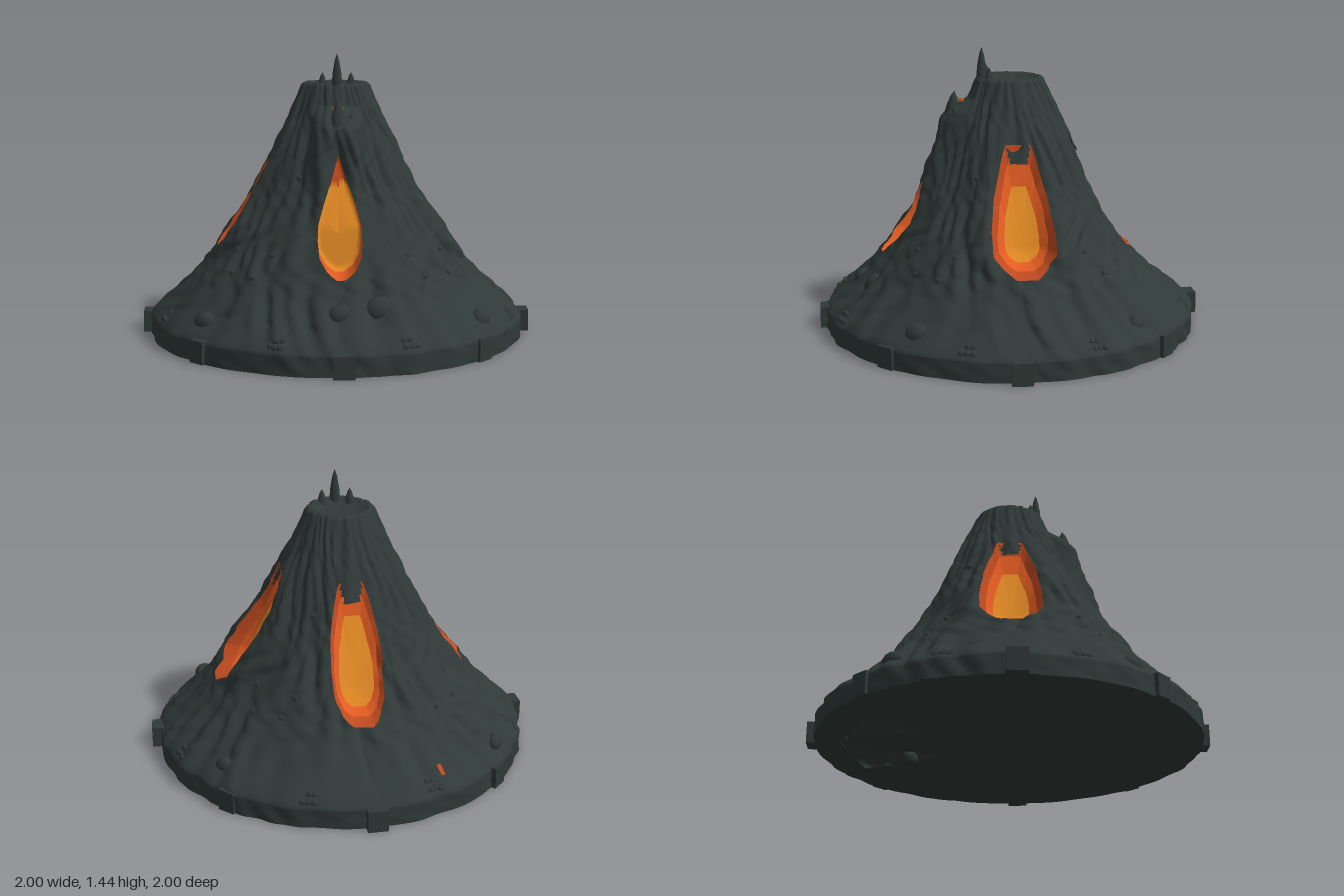
import * as THREE from 'three';

const material = (name, color) => {
  const m = new THREE.MeshStandardMaterial({ color, side: THREE.DoubleSide });
  m.name = name;
  return m;
};

// Linear lookup in a list of [key, value]
function lookup(table, k) {
  if (k <= table[0][0]) return table[0][1];
  for (let i = 1; i < table.length; i++) {
    const [k1, v1] = table[i], [k0, v0] = table[i - 1];
    if (k <= k1) return v0 + (v1 - v0) * (k - k0) / (k1 - k0);
  }
  return table[table.length - 1][1];
}

const PROFILE = [[0, 0.958], [0.1, 0.957], [0.13, 0.93], [0.2, 0.845], [0.3, 0.738], [0.4, 0.655],
  [0.5, 0.582], [0.6, 0.515], [0.7, 0.45], [0.8, 0.39], [0.9, 0.342], [1, 0.3], [1.1, 0.25], [1.2, 0.205], [1.285, 0.168]];
const BROW = [[0.45, 0], [0.65, 0.02], [0.82, 0.055], [0.95, 0.07], [1.08, 0.09], [1.12, 0.075], [1.18, 0]];
const BACK_TRIM = [[0.12, 0], [0.22, 0.04], [0.6, 0.04], [0.9, 0]];
const SHOULDER = [[0.38, 0], [0.5, 0.035], [0.85, 0.03], [0.98, 0.012], [1.1, 0]];
const ROUGHNESS = [[0, 0.35], [0.1, 0.5], [0.2, 1.4], [0.5, 0.9], [0.9, 0.7], [1.29, 0.36]];

// Opening half widths by height
const FRONT_OPENING = [[0.39, 0.02], [0.42, 0.065], [0.48, 0.1], [0.55, 0.11], [0.62, 0.105], [0.72, 0.072], [0.82, 0.038], [0.94, 0.004]];
const SIDE_OPENING = [[0.4, 0.05], [0.44, 0.11], [0.5, 0.15], [0.6, 0.15], [0.75, 0.13], [0.9, 0.09], [0.96, 0.073], [0.99, 0.06]];
const BACK_OPENING = [[0.37, 0.05], [0.41, 0.1], [0.48, 0.135], [0.6, 0.14], [0.75, 0.125], [0.9, 0.09], [0.96, 0.073], [0.99, 0.06]];
const OPENINGS = [FRONT_OPENING, SIDE_OPENING, BACK_OPENING, SIDE_OPENING];

const wrap = a => Math.atan2(Math.sin(a), Math.cos(a));

// Rugged slope radius: gullies, wider roots near the foot, a brow at the front, shoulders beside the openings
function slope(theta, y) {
  const { sin, abs, max, cos } = Math, smooth = THREE.MathUtils.smoothstep;
  const a = theta + 0.1 * sin(5 * y + 3 * theta) + 0.04 * sin(12 * y + 7 * theta);
  const d = 0.022 * (abs(sin(8 * a + 1)) - 0.62) + 0.015 * (abs(sin(17 * a + 2 * sin(6 * y))) - 0.62)
    + 0.006 * sin(31 * a + 9 * y) + 0.007 * sin(6 * a) * sin(14 * y + 5 * theta)
    + 0.006 * sin(23 * theta + 3 * sin(17 * y)) * sin(37 * y + 4 * theta);
  const r = lookup(PROFILE, y), turned = abs(wrap(theta));
  const x = turned * (r + 0.06);
  const hollow = 0.6 * (1 - smooth(x, 0.02, 0.1)) * (1 - smooth(y, 0.92, 1.06));
  const brow = lookup(BROW, y) * (1 - smooth(x, 0.08, 0.19)) * (1 - hollow);
  const outside = abs(turned - Math.PI / 2) * r - lookup(SIDE_OPENING, y);
  const shoulder = lookup(SHOULDER, y) * smooth(outside, -0.04, 0.04) * (1 - smooth(outside, 0.06, 0.18));
  return r + d * lookup(ROUGHNESS, y) + brow + shoulder - lookup(BACK_TRIM, y) * max(0, -cos(theta)) ** 2;
}

const place = (theta, r, y) => [r * Math.sin(theta), y, r * Math.cos(theta)];

function surface(positions, index) {
  const g = new THREE.BufferGeometry();
  g.setAttribute('position', new THREE.Float32BufferAttribute(positions, 3));
  g.setIndex(index);
  g.computeVertexNormals();
  return g;
}

// Mountain shell: each quarter has columns that follow its opening's edges
function mountainGeometry() {
  const rows = [];
  for (let i = 0; i <= 128; i++) rows.push([i / 100, i / 100, 1]);
  rows.push([1.29, 1.292, 0.92], [1.29, 1.285, 0.8], [1.29, 1.266, 0.68], [1.29, 1.26, 0.4], [1.29, 1.26, 0.01]);
  const INNER = 12, OUTER = 30, COLS = INNER + 2 * OUTER, total = COLS * 4;
  const positions = [], index = [];
  for (const [y, height, k] of rows) {
    for (let q = 0; q < 4; q++) {
      const w = Math.max(0.004, lookup(OPENINGS[q], y)) / lookup(PROFILE, y);
      for (let c = 0; c < COLS; c++) {
        const edge = Math.PI / 4;
        let t;
        if (c < OUTER) t = -edge + (edge - w) * c / OUTER;
        else if (c <= OUTER + INNER) t = -w + 2 * w * (c - OUTER) / INNER;
        else t = w + (edge - w) * (c - OUTER - INNER) / OUTER;
        const theta = q * Math.PI / 2 + t;
        positions.push(...place(theta, slope(theta, y) * k, height));
      }
    }
  }
  for (let j = 0; j < rows.length - 1; j++) {
    const y = j / 100 + 0.005;
    for (let c = 0; c < total; c++) {
      const q = Math.floor(c / COLS), s = c % COLS - OUTER, table = OPENINGS[q];
      const inside = s >= 0 && s < INNER && y > table[0][0] && y < table[table.length - 1][0];
      // A rock tongue, widening upward, hangs from the top of the wider openings
      const gap = y > 0.96 ? 1 : y > 0.93 ? 2 : 3;
      const tongue = q > 0 && y > 0.9 && s >= gap && s < INNER - gap;
      if (inside && !tongue) continue;
      const n = (c + 1) % total, a = j * total + c, b = j * total + n;
      index.push(a, b, b + total, a, b + total, a + total);
    }
  }
  return surface(positions, index);
}

// Rings of a lava pocket between successive [scale, depth] outlines, kept between two heights
function lavaBand(q, rings, fromY = 0, toY = 2) {
  const table = OPENINGS[q], y0 = table[0][0], y1 = table[table.length - 1][0], cy = q === 0 ? 0.57 : 0.51;
  const outline = [];
  for (let i = 0; i <= 30; i++) {
    const y = y0 + (y1 - y0) * i / 30;
    outline.push([lookup(table, y), y]);
  }
  for (let i = 30; i >= 0; i--) outline.push([-outline[i][0], outline[i][1]]);
  const positions = [], index = [], n = outline.length, turn = q * Math.PI / 2;
  const back = [[0.39, q === 0 ? 0.46 : 0.51], [0.6, 0.42], [0.8, 0.33], [1, 0.26]];
  rings.forEach(([f, depth], r) => {
    outline.forEach(([x, oy], i) => {
      const y = cy + (oy - cy) * f, t = x * f / lookup(PROFILE, y), edge = slope(turn + t, y);
      const across = edge * Math.sin(t);
      const out = THREE.MathUtils.lerp(edge * Math.cos(t), lookup(back, y), depth);
      positions.push(out * Math.sin(turn) + across * Math.cos(turn), y, out * Math.cos(turn) - across * Math.sin(turn));
      if (r === 0) return;
      const middle = cy + (oy - cy) * (f + rings[r - 1][0]) / 2;
      if (middle < fromY || middle >= toY) return;
      const k = (i + 1) % n, a = (r - 1) * n, b = r * n;
      index.push(a + i, a + k, b + k, a + i, b + k, b + i);
    });
  });
  return surface(positions, index);
}

// Pointed rock spire standing on y = 0
function spireGeometry(radius, height) {
  const pts = [[1, 0], [0.95, 0.3], [0.75, 0.6], [0.4, 0.85], [0.001, 1]];
  return new THREE.LatheGeometry(pts.map(([r, y]) => new THREE.Vector2(r * radius, y * height)), 10);
}

export function createModel() {
  const model = new THREE.Group();
  const rock = material('dark rock', 0x2f3937);
  const rim = material('deep orange lava', 0xc04a1f);
  const mid = material('orange lava', 0xe25c22);
  const core = material('amber lava', 0xe38a24);
  const add = (name, geometry, mat, x = 0, y = 0, z = 0) => {
    const mesh = new THREE.Mesh(geometry, mat);
    mesh.name = name;
    mesh.position.set(x, y, z);
    model.add(mesh);
    return mesh;
  };

  add('mountain', mountainGeometry(), rock);

  // Underside with two broken gaps
  const foot = new THREE.Shape();
  for (let i = 0; i < 160; i++) {
    const t = i / 160 * Math.PI * 2, [x, , z] = place(t, slope(t, 0), 0);
    i ? foot.lineTo(x, z) : foot.moveTo(x, z);
  }
  for (const gap of [[[0.15, -0.3], [0.35, -0.74], [-0.04, -0.83]], [[-0.06, -0.83], [-0.39, -0.69], [-0.25, -0.37]]])
    foot.holes.push(new THREE.Path(gap.map(p => new THREE.Vector2(...p))));
  add('underside', new THREE.ShapeGeometry(foot).rotateX(Math.PI / 2), rock);

  // Front lava pocket: orange floor, amber back wall, deep orange tip
  const frontFloor = [[1, 0], [0.99, 0.5], [0.97, 0.9]];
  const frontWall = [[0.97, 0.9], [0.9, 1], [0.8, 1], [0.7, 1], [0.6, 1], [0.4, 1], [0, 1]];
  add('frontLavaFloor', lavaBand(0, frontFloor, 0, 0.81), mid);
  add('frontLavaCore', lavaBand(0, frontWall, 0, 0.81), core);
  add('frontLavaTip', lavaBand(0, [...frontFloor, ...frontWall.slice(1)], 0.81), rim);

  // Side and back lava pockets
  for (const [q, edge, heart] of [[1, 0.82, 0.58], [2, 0.86, 0.66], [3, 0.82, 0.58]]) {
    add('lavaRim', lavaBand(q, [[1, 0], [edge, 0.5]]), rim);
    add('lavaMiddle', lavaBand(q, [[edge, 0.5], [heart, 0.88]]), mid);
    add('lavaCore', lavaBand(q, [[heart, 0.88], [heart / 2, 1], [0, 1]]), core);
  }

  // Spires on the crater lip and peaks on the brow
  add('tallSpire', spireGeometry(0.03, 0.24), rock, 0, 1.2, 0.145);
  const peak = add('browPeak', spireGeometry(0.045, 0.2), rock, 0, 1.02, 0.305);
  peak.rotation.x = -0.1;
  for (const s of [-1, 1]) {
    add('smallSpire', spireGeometry(0.028, 0.13), rock, s * 0.072, 1.215, 0.115);
    add('browSidePeak', spireGeometry(0.035, 0.12), rock, s * 0.065, 1.03, 0.285);
  }

  // Small glowing cracks behind the brow and low on the back
  add('ventGlow', new THREE.BoxGeometry(0.06, 0.008, 0.025), rim, 0, 1.172, 0.25);
  const crack = add('backCrack', new THREE.BoxGeometry(0.022, 0.008, 0.06), rim, ...place(3.56, slope(3.56, 0.18) + 0.002, 0.18));
  crack.rotation.set(0.72, 3.56, 0, 'YXZ');

  // Square blocks and chips around the foot: [angle in degrees, radius, width]
  for (const [deg, r, w] of [[0, 0.945, 0.1], [86, 0.953, 0.1], [180, 0.95, 0.1], [271, 0.95, 0.1],
    [45, 0.925, 0.09], [135, 0.925, 0.09], [225, 0.925, 0.09], [315, 0.925, 0.09]]) {
    const t = THREE.MathUtils.degToRad(deg);
    const block = add('footBlock', new THREE.BoxGeometry(w, 0.11, 0.1), rock, ...place(t, r, 0.055));
    block.rotation.y = t;
  }

  // Boulders and pebbles: [angle in degrees, height, size]
  const stones = [[14, 0.26, 0.075], [-1, 0.25, 0.06], [-50, 0.17, 0.06], [52, 0.17, 0.06], [128, 0.17, 0.05], [232, 0.17, 0.05]];
  for (const a of [0, 90, 180, 270]) {
    stones.push([a + 38, 0.38, 0.018], [a - 38, 0.38, 0.018], [a + 33, 0.48, 0.018], [a - 33, 0.48, 0.018], [a + 58, 0.83, 0.02]);
    for (const s of [-1, 1])
      for (let i = 0; i < 5; i++) stones.push([a + s * (18 + i % 3 * 1.7), 0.125 + Math.floor(i / 3) * 0.025, 0.019]);
  }
  const ball = new THREE.SphereGeometry(1, 10, 8);
  for (const [deg, y, size] of stones) {
    const t = THREE.MathUtils.degToRad(deg);
    const stone = add(size > 0.03 ? 'boulder' : 'pebble', ball, rock, ...place(t, slope(t, y) - size * 0.25, y));
    stone.scale.set(size, size * 0.8, size * 0.7);
    stone.rotation.set(-0.5, t, 0.4, 'YXZ');
  }
  return model;
}
